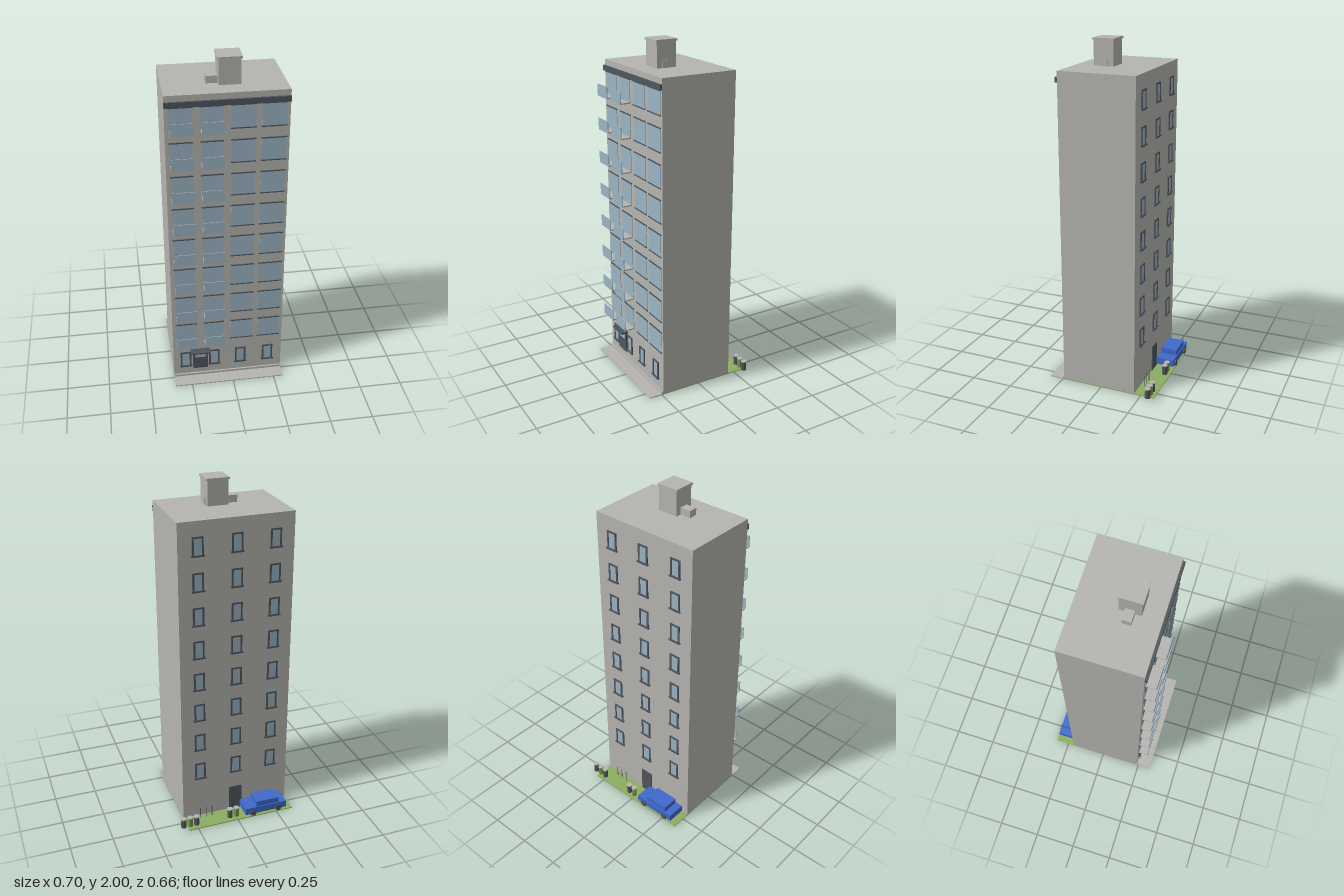
import * as THREE from 'three';

const mat = (name, color, flat = false) => {
  const m = new THREE.MeshStandardMaterial({ color, flatShading: flat });
  m.name = name;
  return m;
};

export function createModel() {
  const concrete = mat('concrete', 0xb5b4b0, true);
  const glass = mat('glass', 0x9ab4c4, true);
  const slate = mat('slate', 0x50565e, true);
  const grass = mat('grass', 0x8cad60, true);
  const carBlue = mat('carBlue', 0x3f69cc, true);
  const binGreen = mat('binGreen', 0x6f9a45, true);

  const model = new THREE.Group();
  model.name = 'apartmentTower';

  // Box given by its limits along each axis
  const box = (name, material, x0, x1, y0, y1, z0, z1, parent = model) => {
    const mesh = new THREE.Mesh(new THREE.BoxGeometry(x1 - x0, y1 - y0, z1 - z0), material);
    mesh.position.set((x0 + x1) / 2, (y0 + y1) / 2, (z0 + z1) / 2);
    mesh.name = name;
    parent.add(mesh);
    return mesh;
  };
  const group = (name) => {
    const g = new THREE.Group();
    g.name = name;
    model.add(g);
    return g;
  };

  const L = -0.353, R = 0.307, FRONT = 0.24, BACK = -0.21;
  const FLOORS = 8, PITCH = 0.198;

  // Ground and main block
  box('lawn', grass, L, R, 0, 0.005, -0.33, 0.25);
  box('pavement', concrete, L, R, 0, 0.006, 0.25, 0.33);
  box('tower', concrete, L, R, 0.005, 1.848, BACK, FRONT);
  box('plinth', concrete, L, R, 0.005, 0.02, FRONT, 0.25);
  box('cornice', slate, L, R, 1.785, 1.815, FRONT, 0.253);

  // Rooftop lift house
  box('liftHouse', concrete, -0.056, 0.064, 1.848, 1.988, 0.016, 0.134);
  box('liftHouseCap', concrete, -0.062, 0.07, 1.988, 2, 0.01, 0.14);
  box('roofDuct', concrete, -0.12, 0.069, 1.848, 1.888, 0.05, 0.1);

  // Framed window with sill; side is 1 on the front wall and -1 on the back
  const framedWindow = (cx, y, side) => {
    const g = group('framedWindow');
    const wall = side > 0 ? FRONT : BACK;
    const slab = (name, m, x0, x1, y0, y1, depth) => {
      const z = wall + side * depth;
      box(name, m, x0, x1, y0, y1, Math.min(wall, z), Math.max(wall, z), g);
    };
    slab('pane', glass, cx - 0.026, cx + 0.026, y + 0.006, y + 0.102, 0.003);
    for (const s of [-1, 1]) {
      const x = cx + s * 0.027;
      slab('jamb', slate, x - 0.005, x + 0.005, y, y + 0.108, 0.006);
    }
    slab('head', slate, cx - 0.032, cx + 0.032, y + 0.1, y + 0.109, 0.006);
    slab('sill', slate, cx - 0.037, cx + 0.037, y, y + 0.009, 0.011);
  };

  // Wide front windows, with balconies on the two columns at the right-hand side
  const columns = [
    [-0.33, -0.211, true], [-0.165, -0.047, true],
    [-0.004, 0.125, false], [0.157, 0.289, false],
  ];
  for (let floor = 0; floor < FLOORS; floor++) {
    const y = 0.265 + floor * PITCH;
    for (const [x0, x1, balcony] of columns) {
      box('wideWindow', glass, x0, x1, y, y + 0.13, FRONT, FRONT + 0.003);
      box('lintel', slate, x0 - 0.003, x1 + 0.003, y + 0.128, y + 0.134, FRONT, FRONT + 0.006);
      if (balcony) {
        const g = group('balcony');
        box('balconySlab', concrete, x0, x1, y - 0.003, y + 0.004, FRONT, 0.3, g);
        box('balconyScreen', glass, x0, x1, y - 0.003, y + 0.066, 0.298, 0.302, g);
      } else {
        box('wideSill', slate, x0 - 0.003, x1 + 0.003, y - 0.003, y + 0.003, FRONT, FRONT + 0.006);
      }
    }
    // Rear windows
    for (const x of [-0.244, -0.024, 0.197]) framedWindow(x, y + 0.004, -1);
  }

  // Entrance level
  for (const x of [-0.278, -0.105, 0.055, 0.222]) framedWindow(x, 0.076, 1);
  box('entranceDoor', slate, -0.235, -0.145, 0.06, 0.195, FRONT, 0.25);
  box('doorPane', glass, -0.221, -0.156, 0.145, 0.173, 0.25, 0.253);
  box('entranceCanopy', slate, -0.248, -0.132, 0.194, 0.203, FRONT, 0.285);
  box('rearDoor', slate, -0.064, 0.016, 0.005, 0.163, -0.215, BACK);

  // Parked car
  const car = group('car');
  box('carBody', carBlue, -0.314, -0.051, 0.018, 0.06, -0.326, -0.216, car);
  box('carCabin', carBlue, -0.267, -0.122, 0.06, 0.094, -0.32, -0.222, car);
  for (const x of [-0.264, -0.099]) {
    for (const z of [-0.323, -0.22]) {
      const wheel = new THREE.Mesh(new THREE.CylinderGeometry(0.02, 0.02, 0.016, 12), slate);
      wheel.rotation.x = Math.PI / 2;
      wheel.position.set(x, 0.025, z);
      wheel.name = 'wheel';
      car.add(wheel);
    }
  }

  // Rubbish bins with pale lids
  const cylinder = (name, m, r, h, x, y, z, sides) => {
    const mesh = new THREE.Mesh(new THREE.CylinderGeometry(r, r, h, sides), m);
    mesh.position.set(x, y + h / 2, z);
    mesh.rotation.y = Math.PI / 8;
    mesh.name = name;
    model.add(mesh);
  };
  [[0.003, binGreen], [0.043, slate], [0.255, slate], [0.294, binGreen], [0.335, slate]].forEach(([x, m]) => {
    cylinder('bin', m, 0.016, 0.055, x, 0.016, -0.304, 8);
    cylinder('binLid', concrete, 0.018, 0.005, x, 0.071, -0.304, 8);
  });

  // Slim posts by the rear wall
  for (const x of [0.135, 0.172, 0.208]) cylinder('post', slate, 0.002, 0.07, x, 0.005, -0.238, 6);

  return model;
}
